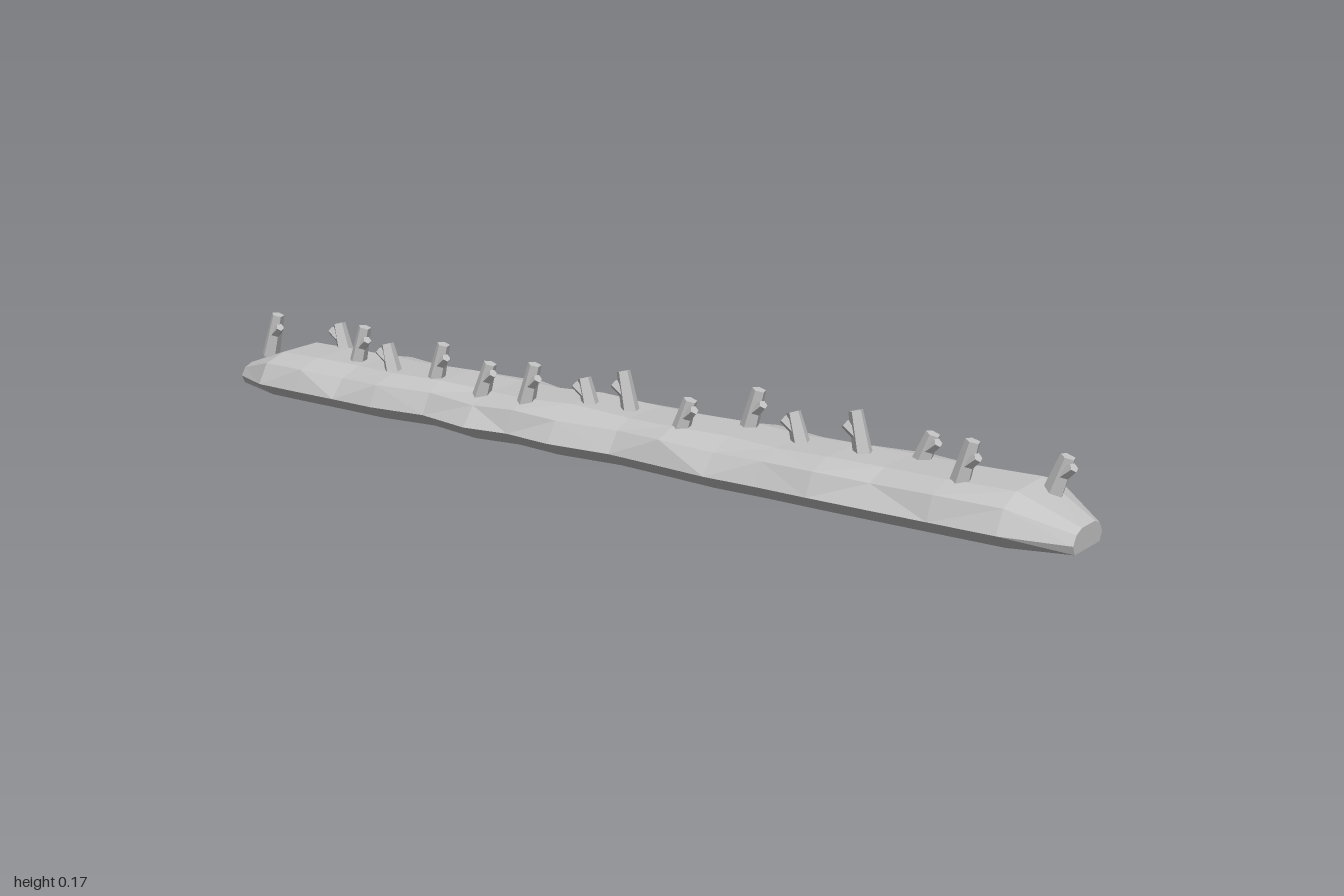
import * as THREE from 'three';

const stone = new THREE.MeshStandardMaterial({ color: 0xc2c2c2, flatShading: true });
stone.name = 'pale grey';

// Stations along the bank: x, front edge z, back edge z, crest height
const stations = [
  [-0.87, 0.125, 0.115, 0.088], [-0.76, 0.126, 0.129, 0.091], [-0.65, 0.125, 0.13, 0.087],
  [-0.54, 0.126, 0.134, 0.089], [-0.41, 0.108, 0.12, 0.092], [-0.28, 0.131, 0.132, 0.087],
  [-0.18, 0.115, 0.126, 0.09], [-0.07, 0.125, 0.126, 0.094], [0.07, 0.111, 0.128, 0.088],
  [0.18, 0.118, 0.131, 0.091], [0.3, 0.127, 0.134, 0.089], [0.41, 0.124, 0.129, 0.086],
  [0.52, 0.125, 0.116, 0.09], [0.63, 0.124, 0.13, 0.087], [0.76, 0.122, 0.131, 0.091],
  [0.89, 0.12, 0.135, 0.092],
];

// Cross-section from the front foot, over the crest, to the back foot
function section(x, front, back, top, i) {
  const wob = 0.008 * Math.sin(i * 2.3);
  return [
    [x, 0, front - 0.038], [x, 0.03, front], [x, 0.072 + wob * 0.4, front - 0.024 + wob],
    [x, top, 0.05 + wob], [x, top + 0.003, -0.05 + wob],
    [x, 0.073 - wob * 0.4, -back + 0.019 + wob], [x, 0.03, -back], [x, 0, -back + 0.04],
  ];
}

function endSection(x) {
  const half = [[0, 0.048], [0.017, 0.056], [0.034, 0.045], [0.042, 0.025]];
  return [
    ...half.map(([y, z]) => [x, y, z]),
    ...half.slice().reverse().map(([y, z]) => [x, y, -z]),
  ];
}

// Faceted bank lofted through all sections, with capped ends
function bankGeometry() {
  const rings = [endSection(-1), ...stations.map((s, i) => section(...s, i)), endSection(1)];
  const n = rings[0].length;
  const index = [];
  for (let i = 0; i < rings.length - 1; i++) {
    for (let j = 0; j < n; j++) {
      const a = i * n + j, b = i * n + (j + 1) % n;
      const c = a + n, d = b + n;
      if (i % 2) index.push(a, c, d, a, d, b);
      else index.push(a, c, b, c, d, b);
    }
  }
  const last = (rings.length - 1) * n;
  for (let j = 1; j < n - 1; j++) {
    index.push(0, j, j + 1);
    index.push(last, last + j + 1, last + j);
  }
  const geo = new THREE.BufferGeometry();
  geo.setAttribute('position', new THREE.Float32BufferAttribute(rings.flat(2), 3));
  geo.setIndex(index);
  const flat = geo.toNonIndexed();
  flat.computeVertexNormals();
  return flat;
}

// Tapered five-sided post between two points
function limb(name, from, to, r0, r1) {
  const dir = to.clone().sub(from);
  const mesh = new THREE.Mesh(new THREE.CylinderGeometry(r1, r0, dir.length(), 5), stone);
  mesh.name = name;
  mesh.position.copy(from).addScaledVector(dir, 0.5);
  mesh.quaternion.setFromUnitVectors(new THREE.Vector3(0, 1, 0), dir.normalize());
  return mesh;
}

// Stumps: x, z, lean direction; tall and short ones
const stumps = [
  [-0.915, 0.035, 1, 0.166], [-0.79, -0.05, -1, 0.145], [-0.675, 0.012, 1, 0.166],
  [-0.565, 0.035, -1, 0.145], [-0.43, 0.035, 1, 0.166], [-0.287, 0.055, 1, 0.15],
  [-0.167, 0.06, 1, 0.166], [-0.055, 0.015, -1, 0.143], [0.03, 0, -1, 0.166],
  [0.198, 0.045, 1, 0.147], [0.298, -0.036, 1, 0.166], [0.415, -0.01, -1, 0.143],
  [0.547, -0.01, -1, 0.166], [0.665, -0.04, 1, 0.14], [0.788, 0.045, 1, 0.166],
  [0.93, -0.028, 1, 0.146],
];

function stump(x, z, lean, top) {
  const group = new THREE.Group();
  group.name = 'branchStump';
  const base = new THREE.Vector3(x - lean * 0.012, 0.07, z);
  const tip = new THREE.Vector3(x + lean * 0.012, top - 0.003, z - 0.004);
  group.add(limb('trunk', base, tip, 0.02, 0.014));
  // Side knot pointing the way the trunk leans
  const fork = base.clone().lerp(tip, 0.5);
  const knot = new THREE.Vector3(x + lean * 0.028, fork.y + 0.022, z + 0.006);
  group.add(limb('knot', fork, knot, 0.013, 0.009));
  return group;
}

export function createModel() {
  const model = new THREE.Group();
  model.name = 'stumpedBank';
  const bank = new THREE.Mesh(bankGeometry(), stone);
  bank.name = 'bank';
  model.add(bank);
  for (const s of stumps) model.add(stump(...s));
  return model;
}
